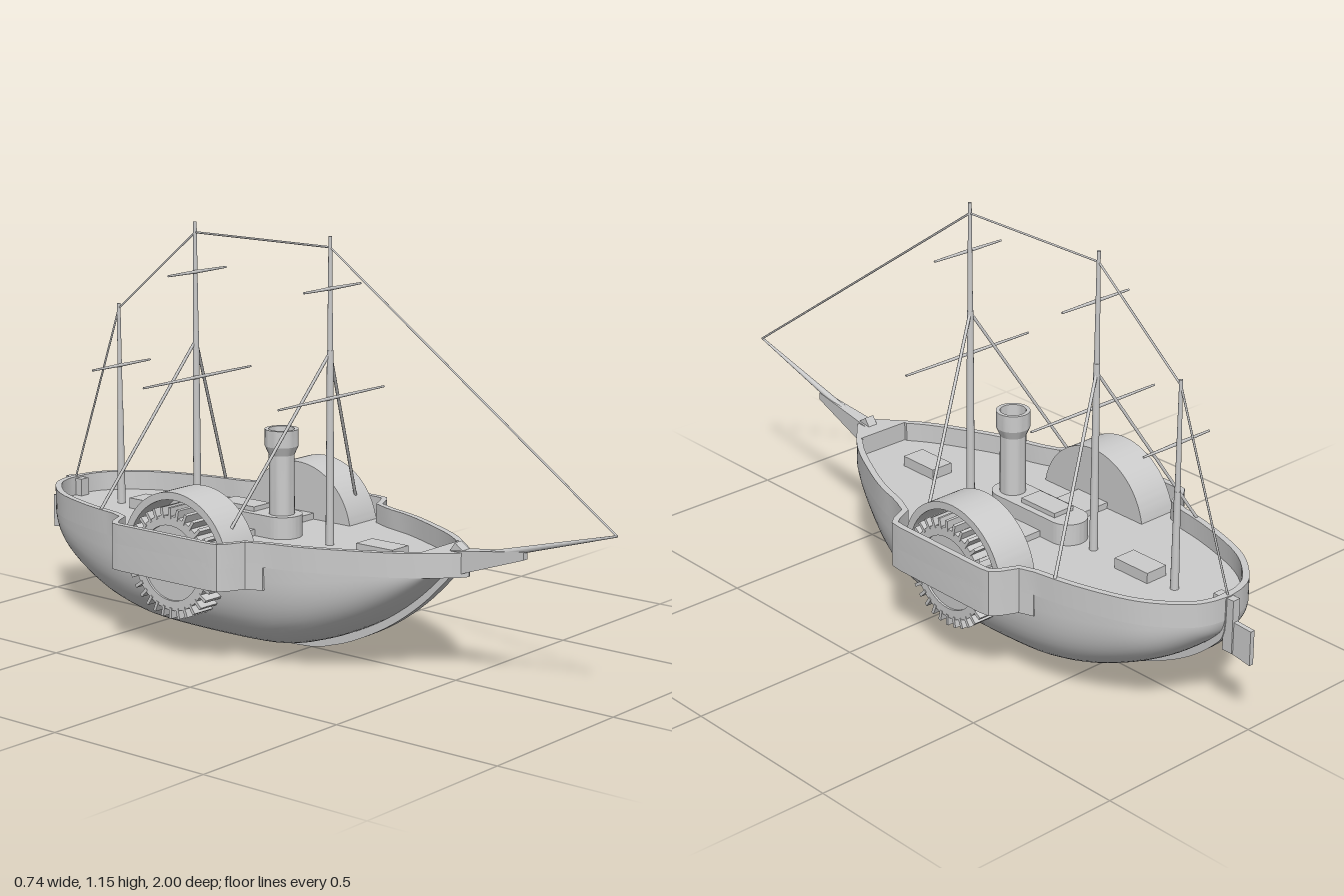
import * as THREE from 'three';
import { toCreasedNormals } from 'three/addons/utils/BufferGeometryUtils.js';

const V2 = (a) => new THREE.Vector2(a[0], a[1]);
const V3 = (a) => new THREE.Vector3(...a);
const RIM = 0.355, DECK = 0.3, WHEEL_Y = 0.267, WHEEL_Z = -0.218;

// Half plan of the hull (half width, z), stern to bow
const PLAN = [[0, -0.92], [0.06, -0.91], [0.115, -0.88], [0.185, -0.8], [0.23, -0.7], [0.27, -0.55],
  [0.285, -0.4], [0.29, -0.2], [0.28, 0], [0.25, 0.15], [0.185, 0.3], [0.13, 0.4], [0.075, 0.47], [0.03, 0.52], [0, 0.54]];
// Outward bulge of the rail around the paddle wheels
const BULGE = [[0.28, -0.49], [0.295, -0.45], [0.34, -0.43], [0.365, -0.41], [0.37, -0.38], [0.37, -0.06],
  [0.365, -0.025], [0.34, -0.005], [0.295, 0.015], [0.276, 0.06]];
// Underside of the keel (z, y), stern to bow
const KEEL = [[-0.92, 0.35], [-0.915, 0.25], [-0.88, 0.2], [-0.8, 0.135], [-0.7, 0.08], [-0.6, 0.04], [-0.5, 0.015],
  [-0.38, 0], [-0.03, 0], [0.1, 0.025], [0.2, 0.065], [0.3, 0.12], [0.4, 0.195], [0.49, 0.285], [0.54, 0.352]];

const smooth = (pts, n) => new THREE.SplineCurve(pts.map(V2)).getPoints(n);

// Moves each point of a path sideways (to the left of its direction)
function offset(pts, d) {
  return pts.map((p, i) => {
    const t = pts[Math.min(i + 1, pts.length - 1)].clone().sub(pts[Math.max(i - 1, 0)]).normalize();
    return new THREE.Vector2(p.x - t.y * d, p.y + t.x * d);
  });
}

// Closed plan from a half plan
const mirrorPlan = (half) => [...half, ...half.slice(1, -1).reverse().map((p) => new THREE.Vector2(-p.x, p.y))];

// Extrudes an (x, z) outline between two heights
function slab(points, y0, y1, hole) {
  const s = new THREE.Shape(points);
  if (hole) s.holes.push(new THREE.Path(hole));
  const g = new THREE.ExtrudeGeometry(s, { depth: y1 - y0, bevelEnabled: false, curveSegments: 16 });
  return toCreasedNormals(g.rotateX(Math.PI / 2).translate(0, y1, 0), 0.6);
}

// Extrudes a (z, y) shape between two x positions
function plate(shape, x0, x1) {
  const g = new THREE.ExtrudeGeometry(shape, { depth: x1 - x0, bevelEnabled: false, curveSegments: 40 });
  return toCreasedNormals(g.rotateY(-Math.PI / 2).translate(x1, 0, 0), 0.6);
}

// Round bar between two points
function bar(a, b, ra, rb = ra, sides = 8) {
  const A = V3(a), B = V3(b), d = B.clone().sub(A);
  const g = new THREE.CylinderGeometry(rb, ra, d.length(), sides);
  g.applyQuaternion(new THREE.Quaternion().setFromUnitVectors(V3([0, 1, 0]), d.normalize()));
  return g.translate(...A.add(B).multiplyScalar(0.5).toArray());
}

const block = (x, y0, y1, z0, z1) =>
  new THREE.BoxGeometry(2 * x, y1 - y0, z1 - z0).translate(0, (y0 + y1) / 2, (z0 + z1) / 2);

// Rounded hull body, lofted from superellipse sections
function hullGeometry(plan, keel) {
  const pos = [], idx = [], N = 32;
  plan.forEach((p) => {
    let j = keel.findIndex((k) => k.x >= p.y);
    j = j < 1 ? 1 : j;
    const a = keel[j - 1], b = keel[j];
    const f = THREE.MathUtils.clamp((p.y - a.x) / (b.x - a.x), 0, 1);
    const low = Math.min(DECK, a.y + (b.y - a.y) * f + 0.024);
    const e = 2 / (2.2 + 0.7 * Math.min(1, p.x / 0.29));
    for (let i = 0; i <= N; i++) {
      const t = (i / N - 0.5) * Math.PI, s = Math.sin(t);
      pos.push(p.x * Math.sign(s) * Math.abs(s) ** e, DECK - (DECK - low) * Math.max(0, Math.cos(t)) ** e, p.y);
    }
  });
  for (let r = 0; r < plan.length - 1; r++) for (let i = 0; i < N; i++) {
    const a = r * (N + 1) + i, b = a + N + 1;
    idx.push(a, a + 1, b, a + 1, b + 1, b);
  }
  const g = new THREE.BufferGeometry();
  g.setAttribute('position', new THREE.Float32BufferAttribute(pos, 3));
  g.setIndex(idx);
  g.computeVertexNormals();
  return g;
}

export function createModel() {
  const root = new THREE.Group();
  const mat = new THREE.MeshStandardMaterial({ color: 0xcccccc, side: THREE.DoubleSide });
  const add = (name, geo, parent = root) => {
    const m = new THREE.Mesh(geo, mat);
    m.name = name;
    parent.add(m);
    return m;
  };
  const group = (name) => {
    const g = new THREE.Group();
    g.name = name;
    root.add(g);
    return g;
  };

  // Hull, keel, deck and rail
  const plan = smooth(PLAN, 70), keel = smooth(KEEL, 60);
  add('hull', hullGeometry(plan, keel));
  add('keel', plate(new THREE.Shape([...keel, ...offset(keel, 0.045).reverse()]), -0.015, 0.015));
  add('deck', slab(mirrorPlan(offset(plan, 0.004).map((p) => new THREE.Vector2(Math.max(0, p.x), p.y))), DECK - 0.012, DECK));
  const rail = [...plan.filter((p) => p.y < -0.5), ...BULGE.map(V2), ...plan.filter((p) => p.y > 0.07)];
  const inner = offset(rail, 0.018).filter((p) => p.x > 0.02 && p.y < 0.44);
  const innerLoop = [...inner, new THREE.Vector2(inner[inner.length - 1].x, 0.442)];
  add('bulwark', slab(mirrorPlan(rail), DECK - 0.012, RIM,
    [...innerLoop, ...innerLoop.slice().reverse().map((p) => new THREE.Vector2(-p.x, p.y))]));

  // Paddle wheels with their guards and covers
  for (const side of [1, -1]) {
    const g = group(side > 0 ? 'leftPaddle' : 'rightPaddle');
    const guard = [[0.25, -0.49], ...BULGE, [0.25, 0.06]].map((p) => V2([p[0] * side, p[1]]));
    const well = [[0.262, -0.408], [0.352, -0.408], [0.352, -0.028], [0.262, -0.028]].map((p) => V2([p[0] * side, p[1]]));
    add('wheelGuard', slab(guard, 0.225, DECK, well), g);
    const xs = (a, b) => (side > 0 ? [a, b] : [-b, -a]);
    const arch = new THREE.Shape();
    arch.absarc(WHEEL_Z, WHEEL_Y, 0.193, 0, Math.PI, false);
    arch.absarc(WHEEL_Z, WHEEL_Y, 0.172, Math.PI, 0, true);
    add('wheelCover', plate(arch, ...xs(0.2, 0.32)), g);
    const back = new THREE.Shape();
    back.absarc(WHEEL_Z, WHEEL_Y, 0.19, 0, Math.PI, false);
    add('coverBack', plate(back, ...xs(0.2, 0.21)), g);

    const wheel = new THREE.Group();
    wheel.name = 'paddleWheel';
    wheel.position.set(side * 0.278, WHEEL_Y, WHEEL_Z);
    g.add(wheel);
    add('drum', new THREE.CylinderGeometry(0.108, 0.108, 0.108, 40).rotateZ(Math.PI / 2), wheel);
    const ring = new THREE.Shape().absarc(0, 0, 0.132, 0, Math.PI * 2);
    ring.holes.push(new THREE.Path().absarc(0, 0, 0.105, 0, Math.PI * 2));
    add('rim', plate(ring, -0.06, 0.06), wheel);
    const blade = new THREE.BoxGeometry(0.124, 0.03, 0.009).translate(0, 0.14, 0);
    for (let i = 0; i < 32; i++) add('blade', blade, wheel).rotation.x = (i / 32) * Math.PI * 2;
  }
  add('axleCover', block(0.2, DECK - 0.01, 0.318, -0.275, -0.16));

  // Deck house, funnel and hatches
  const house = new THREE.Shape();
  house.absarc(0, -0.105, 0.055, 0, Math.PI, false);
  house.absarc(0, -0.325, 0.055, Math.PI, Math.PI * 2, false);
  add('deckHouse', slab(house.getPoints(16), DECK - 0.01, 0.362));
  add('skylight', block(0.035, 0.355, 0.375, -0.31, -0.18));
  add('funnel', toCreasedNormals(new THREE.LatheGeometry(
    [[0.036, 0.35], [0.036, 0.53], [0.047, 0.555], [0.047, 0.602], [0.036, 0.602], [0.033, 0.5], [0, 0.5]].map(V2), 32), 0.4)
    .translate(0, 0, -0.108));
  add('foreHatch', block(0.035, DECK - 0.01, 0.33, 0.185, 0.31));
  add('aftHatch', block(0.035, DECK - 0.01, 0.33, -0.66, -0.54));

  // Masts, yards and shrouds
  const masts = [
    { name: 'foreMast', z: 0.065, top: 1.15, yards: [[0.71, 0.225], [1.01, 0.12]], shroud: [0.835, -0.06] },
    { name: 'mainMast', z: -0.425, top: 1.15, yards: [[0.71, 0.225], [1.01, 0.12]], shroud: [0.815, -0.552] },
    { name: 'mizzenMast', z: -0.725, top: 0.89, yards: [[0.71, 0.12]] },
  ];
  for (const { name, z, top, yards, shroud } of masts) {
    const g = group(name);
    const step = top - 0.31;
    add('lowerMast', bar([0, DECK, z], [0, step, z], 0.012, 0.009, 12), g);
    add('topMast', bar([0, step - 0.01, z], [0, top, z], 0.008, 0.005, 12), g);
    for (const [y, w] of yards) for (const s of [1, -1])
      add('yard', bar([0, y, z + 0.008], [s * w, y, z + 0.008], 0.005, 0.003), g);
    if (shroud) for (const s of [1, -1])
      add('shroud', bar([0, shroud[0], z], [s * 0.265, shroud[1] < -0.5 ? 0.35 : 0.375, shroud[1]], 0.0045), g);
  }

  // Bowsprit with its tapering beak
  const beak = new THREE.CylinderGeometry(0.012, 0.03, 0.26, 4, 1).rotateY(Math.PI / 4);
  const p = beak.attributes.position;
  for (let i = 0; i < p.count; i++) {
    const tip = p.getY(i) > 0, up = p.getZ(i) > 0.001;
    p.setXYZ(i, Math.sign(Math.round(p.getX(i) * 1000)) * (tip ? 0.009 : 0.022),
      tip ? (up ? 0.386 : 0.364) : (up ? RIM : 0.285), tip ? 0.72 : 0.49);
  }
  add('beak', toCreasedNormals(beak, 0.5));
  add('bowsprit', bar([0, 0.335, 0.52], [0, 0.471, 1], 0.013, 0.003, 10));

  // Stays from bow to stern
  const stays = [[0, 0.471, 0.998], [0, 1.12, 0.065], [0, 1.12, -0.425], [0, 0.875, -0.725], [0, 0.35, -0.912]];
  for (let i = 0; i < stays.length - 1; i++) add('stay', bar(stays[i], stays[i + 1], 0.003, 0.003, 6));

  // Rudder
  add('rudderPost', block(0.012, 0.2, 0.352, -0.942, -0.91));
  add('rudderBlade', plate(new THREE.Shape(
    [[-0.92, 0.29], [-1, 0.285], [-1, 0.187], [-0.92, 0.2]].map(V2)), -0.007, 0.007));

  return root;
}
